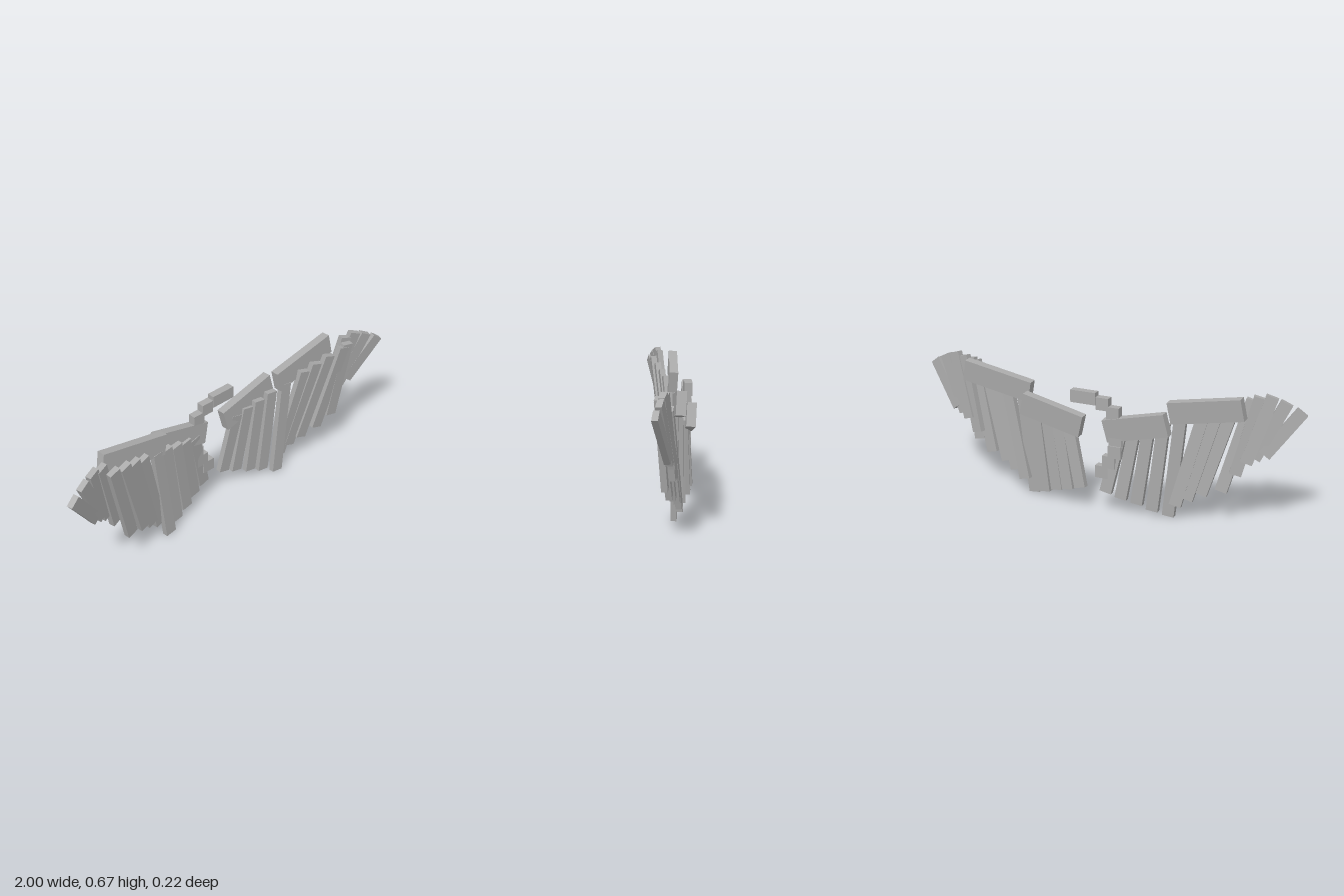
import * as THREE from 'three';

const grey = new THREE.MeshStandardMaterial({ color: 0xaaaaaa });
grey.name = 'plainGrey';

// Box stretched from point a (bottom) to point b (top), its wide face turned by yaw
function bar(name, a, b, width, depth, yaw) {
  const A = new THREE.Vector3(...a), B = new THREE.Vector3(...b);
  const y = B.clone().sub(A);
  const mesh = new THREE.Mesh(new THREE.BoxGeometry(width, y.length(), depth), grey);
  y.normalize();
  const z = new THREE.Vector3(Math.cos(yaw), 0, Math.sin(yaw)).cross(y).normalize();
  const x = y.clone().cross(z);
  mesh.quaternion.setFromRotationMatrix(new THREE.Matrix4().makeBasis(x, y, z));
  mesh.position.copy(A).add(B).multiplyScalar(0.5);
  mesh.name = name;
  return mesh;
}

function plate(name, size, position, tilt) {
  const mesh = new THREE.Mesh(new THREE.BoxGeometry(...size), grey);
  mesh.position.set(...position);
  mesh.rotation.set(-0.06, 0, tilt);
  mesh.name = name;
  return mesh;
}

// Feathers as [bottom, top] for the +x wing
const innerFeathers = [
  [[0.068, 0.108, -0.088], [0.14, 0.425, -0.07]],
  [[0.142, 0.082, -0.075], [0.205, 0.445, -0.06]],
  [[0.215, 0.058, -0.05], [0.272, 0.462, -0.047]],
  [[0.29, 0.031, -0.035], [0.343, 0.485, -0.035]],
  [[0.362, 0.005, -0.004], [0.418, 0.513, -0.012]],
];
const outerFeathers = [
  [[0.405, 0.075, -0.028], [0.525, 0.55, 0.015]],
  [[0.46, 0.112, -0.018], [0.59, 0.575, 0.032]],
  [[0.523, 0.142, 0.003], [0.66, 0.6, 0.053]],
  [[0.617, 0.168, 0.022], [0.74, 0.625, 0.075]],
];
const tipFeathers = [
  [[0.69, 0.27, 0.005], [0.785, 0.652, 0.045]],
  [[0.74, 0.335, 0.008], [0.84, 0.66, 0.055]],
  [[0.775, 0.36, 0.02], [0.905, 0.635, 0.07]],
  [[0.82, 0.38, 0.032], [0.975, 0.595, 0.088]],
];

function mirror([x, y, z]) {
  return [-x, y, z];
}

function makeWing(name, side) {
  const wing = new THREE.Group();
  wing.name = name;
  const at = (p) => (side > 0 ? p : mirror(p));
  const row = (label, list, yaw) => list.forEach(([a, b]) =>
    wing.add(bar(label, at(a), at(b), 0.06, 0.029, yaw * side)));
  row('innerFeather', innerFeathers, 0.06);
  row('outerFeather', outerFeathers, 0.12);
  row('tipFeather', tipFeathers, 0.25);
  // Arm segments behind the feathers
  wing.add(plate('innerArm', [0.325, 0.112, 0.044], at([0.222, 0.461, -0.083]), 0.237 * side));
  wing.add(plate('outerArm', [0.37, 0.106, 0.044], at([0.55, 0.573, -0.025]), 0.187 * side));
  return wing;
}

export function createModel() {
  const model = new THREE.Group();
  model.name = 'wings';
  const left = makeWing('leftWing', 1);
  left.add(bar('outerFeather', [0.7, 0.22, 0.043], [0.765, 0.635, 0.075], 0.06, 0.029, 0.12));
  model.add(left, makeWing('rightWing', -1));

  // Curled chain of small blocks between the wings
  const chain = new THREE.Group();
  chain.name = 'curledChain';
  const links = [
    [0.083, 0.575], [0.018, 0.575], [-0.05, 0.555], [-0.105, 0.515], [-0.115, 0.45],
    [-0.12, 0.385], [-0.115, 0.32], [-0.085, 0.265], [-0.047, 0.21],
  ];
  for (const [x, y] of links) {
    const link = new THREE.Mesh(new THREE.BoxGeometry(0.066, 0.062, 0.038), grey);
    link.position.set(x, y, -0.082);
    link.name = 'chainBlock';
    chain.add(link);
  }
  model.add(chain);
  return model;
}
